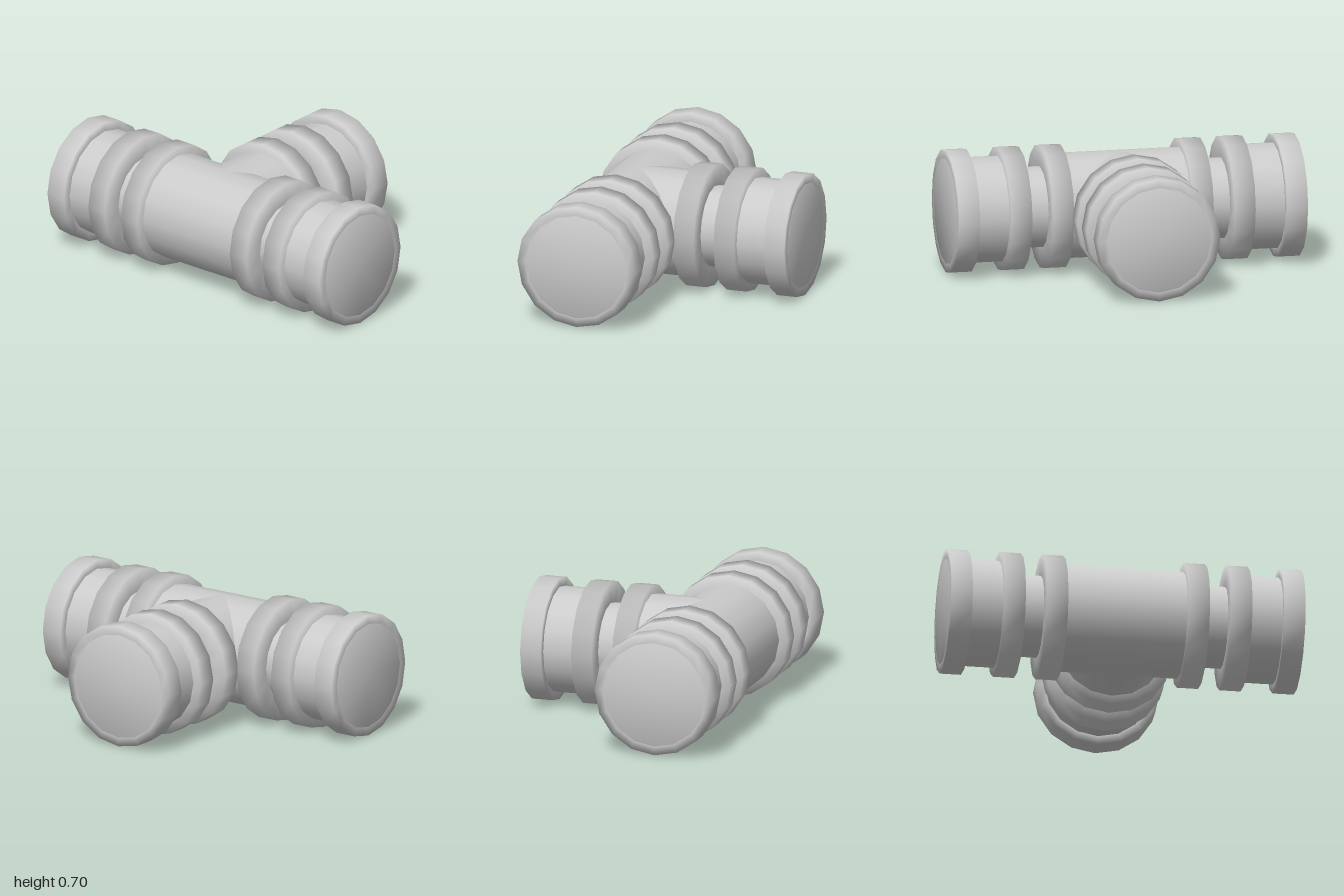
import * as THREE from 'three';

const SIDES = 16;
const PIPE = 0.3, COLLAR = 0.35, NECK = 0.23;
const material = new THREE.MeshStandardMaterial({ color: 0xcccccc });

// Turned part around the local z axis, from [radius, distance] pairs
function turned(name, profile) {
  const points = profile.map(([r, d]) => new THREE.Vector2(r, d));
  const geometry = new THREE.LatheGeometry(points, SIDES).rotateX(Math.PI / 2);
  const mesh = new THREE.Mesh(geometry, material);
  mesh.name = name;
  return mesh;
}

// One arm of the tee; mitre(x) gives where its inner end starts
function createArm(name, mitre) {
  const arm = new THREE.Group();
  arm.name = name;

  // Pipe at the junction, inner end cut to meet the other arms
  const junction = turned('junctionPipe', [[PIPE, 0], [PIPE, 0.4]]);
  const pos = junction.geometry.attributes.position;
  for (let i = 0; i < pos.count; i++) {
    if (pos.getZ(i) < 0.2) pos.setZ(i, mitre(pos.getX(i)));
  }
  arm.add(junction);

  // Narrow neck between the first two collars
  arm.add(turned('neck', [[NECK, 0.46], [NECK, 0.58]]));

  // Outer pipe with its closed end
  arm.add(turned('outerPipe', [[PIPE, 0.7], [PIPE, 0.88]]));
  arm.add(turned('endCap', [[PIPE, 0.9], [PIPE, 1], [0, 1]]));

  // Collars, with softly shaded rims
  const collars = [
    ['innerCollar', 0.34, 0.46, NECK],
    ['middleCollar', 0.58, 0.7, NECK],
    ['endCollar', 0.88, 1, PIPE],
  ];
  for (const [part, from, to, bore] of collars) {
    arm.add(turned(part, [[bore, from], [COLLAR, from], [COLLAR, to], [bore, to]]));
  }
  return arm;
}

export function createModel() {
  const model = new THREE.Group();
  model.name = 'pipeTee';

  const front = createArm('frontArm', (x) => Math.max(0, x));
  const back = createArm('backArm', (x) => Math.max(0, -x));
  back.rotation.y = Math.PI;
  const branch = createArm('branchArm', (x) => Math.abs(x));
  branch.rotation.y = Math.PI / 2;

  for (const arm of [front, back, branch]) {
    arm.position.set(-0.325, COLLAR, 0);
    model.add(arm);
  }
  return model;
}
